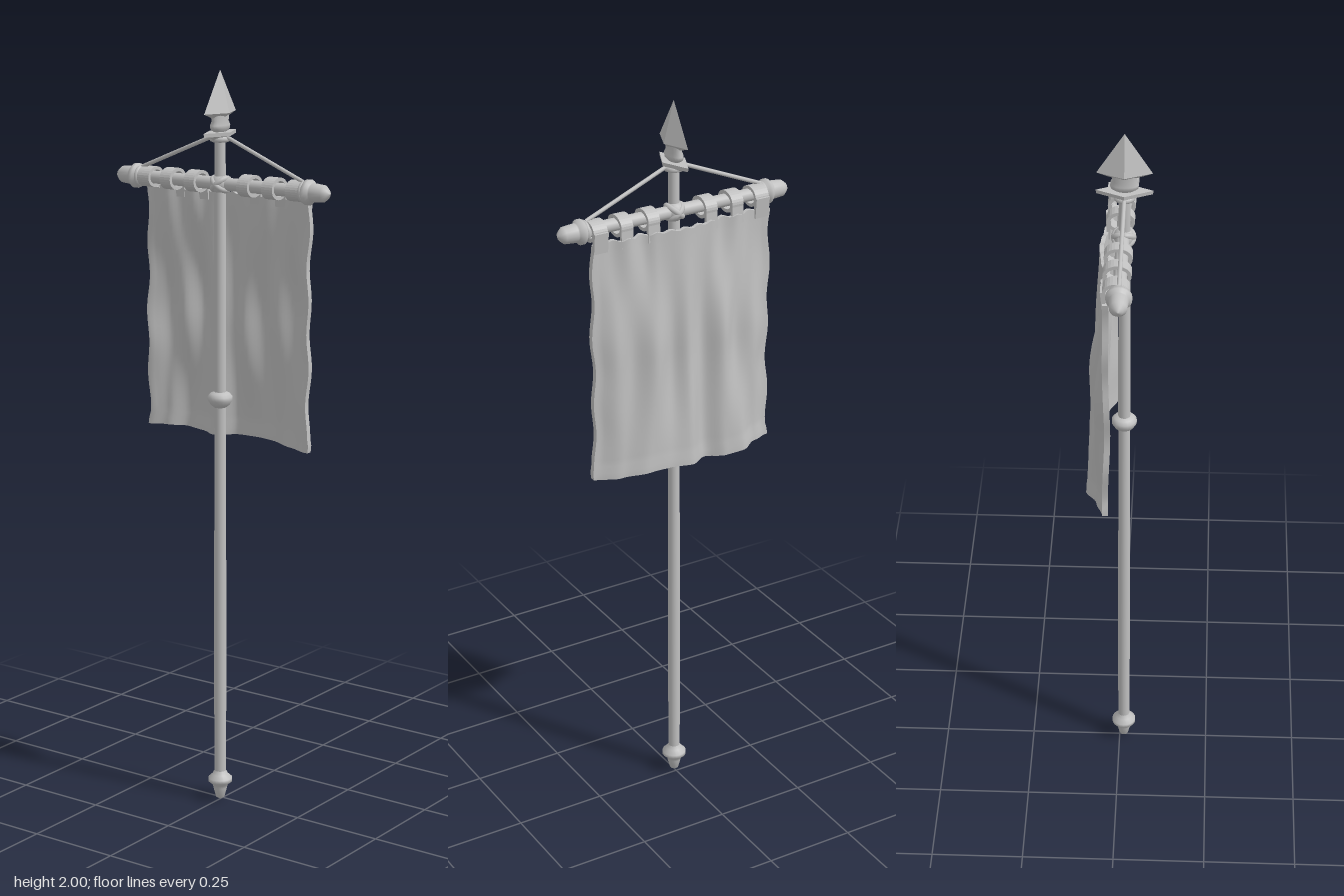
import * as THREE from 'three';

const POLE_X = -0.012;
const BAR_Y = 1.705;

// smooth interpolation through [position, value] pairs
function sample(pairs, t) {
  if (t <= pairs[0][0]) return pairs[0][1];
  for (let i = 1; i < pairs.length; i++) {
    const [a, va] = pairs[i - 1], [b, vb] = pairs[i];
    if (t <= b) return THREE.MathUtils.lerp(va, vb, THREE.MathUtils.smoothstep(t, a, b));
  }
  return pairs[pairs.length - 1][1];
}

function lathe(points, segments = 20) {
  return new THREE.LatheGeometry(points.map(([r, y]) => new THREE.Vector2(r, y)), segments);
}

// faceted four-sided solid, flattened in z
function diamond(rTop, rBottom, height, y, flat) {
  const g = new THREE.CylinderGeometry(rTop, rBottom, height, 4).scale(1, 1, flat).translate(POLE_X, y, 0).toNonIndexed();
  g.computeVertexNormals();
  return g;
}

// cloth depth across z, at the top, middle and bottom
const topFold = [[-0.26, 0.026], [-0.2, 0.022], [-0.16, 0.036], [-0.12, 0.024], [-0.08, 0.038], [0, 0.045],
  [0.085, 0.036], [0.12, 0.024], [0.165, 0.036], [0.21, 0.022], [0.26, 0.024]];
const midFold = [[-0.26, 0.024], [-0.21, 0.05], [-0.17, 0.042], [-0.12, 0.068], [-0.06, 0.036], [0, 0.062],
  [0.05, 0.042], [0.11, 0.06], [0.17, 0.036], [0.21, 0.044], [0.26, 0.02]];
const lowFold = [[-0.26, 0.028], [-0.21, 0.045], [-0.16, 0.074], [-0.11, 0.07], [-0.055, 0.046], [0, 0.076],
  [0.06, 0.068], [0.12, 0.064], [0.19, 0.044], [0.26, 0.018]];

function clothGeometry() {
  const h = 0.66, w = 0.52, bottom = 1.02;
  const g = new THREE.BoxGeometry(0.011, h, w, 1, 36, 64);
  const p = g.attributes.position;
  for (let i = 0; i < p.count; i++) {
    const side = p.getX(i), v = p.getY(i) / h + 0.5, z = p.getZ(i);
    const edge = Math.abs(z) / (w / 2);
    // folds lean outward as they fall
    const zf = z + 0.03 * Math.sin(v * 3.1) * Math.sign(z) * (1 - edge) * edge * 2;
    const t = sample(topFold, zf), m = sample(midFold, zf), l = sample(lowFold, zf);
    let x = v > 0.5 ? THREE.MathUtils.lerp(m, t, THREE.MathUtils.smoothstep(v, 0.5, 1))
      : THREE.MathUtils.lerp(l, m, THREE.MathUtils.smoothstep(v, 0, 0.5));
    x += 0.003 * Math.sin(z * 42 + v * 9) * Math.sin(v * Math.PI);
    // thicker hem along the bottom and sides
    const hem = v < 0.05 || edge > 0.96 ? 1.4 : 1;
    const wobble = 0.004 * Math.sin(v * 23 + z) * edge ** 6;
    const sag = v > 0.97 ? -0.006 * Math.sin(z * 78) ** 2 : 0.004 * Math.sin(z * 21) * (1 - v);
    p.setXYZ(i, x + side * hem, bottom + v * h + sag, z * (v < 0.05 ? 1.015 : 1) + wobble);
  }
  g.computeVertexNormals();
  return g;
}

// strap ring around the bar
function loopGeometry(width, size) {
  const s = new THREE.Shape().absellipse(0, 0, 0.036 * size, 0.029 * size, 0, Math.PI * 2);
  s.holes.push(new THREE.Path().absellipse(0, 0, 0.027 * size, 0.02 * size, 0, Math.PI * 2, true));
  return new THREE.ExtrudeGeometry(s, { depth: width, bevelEnabled: false, curveSegments: 14 }).translate(0, 0, -width / 2);
}

export function createModel() {
  const group = new THREE.Group();
  group.name = 'hangingBanner';
  const grey = new THREE.MeshStandardMaterial({ color: 0xc0c0c0 });
  grey.name = 'plain grey';
  const add = (name, geometry, x = 0, y = 0, z = 0) => {
    const mesh = new THREE.Mesh(geometry, grey);
    mesh.name = name;
    mesh.position.set(x, y, z);
    group.add(mesh);
    return mesh;
  };

  // pole, foot and ring
  add('pole', lathe([[0.016, 0.06], [0.017, 0.5], [0.0155, 0.9], [0.016, 1.2], [0.0155, 1.65], [0.014, 1.84]]), POLE_X);
  add('foot', lathe([[0, 0], [0.012, 0.008], [0.019, 0.035], [0.021, 0.044], [0.033, 0.054], [0.033, 0.064],
    [0.022, 0.074], [0.016, 0.085]]), POLE_X);
  add('poleRing', lathe([[0.016, 1.11], [0.026, 1.118], [0.033, 1.13], [0.033, 1.14], [0.026, 1.148], [0.016, 1.152]]), POLE_X);

  // spear finial
  add('guardPlate', diamond(0.072, 0.07, 0.01, 1.836, 0.46));
  add('guardTaper', diamond(0.055, 0.018, 0.014, 1.824, 0.55));
  add('ropeCollar', new THREE.TorusGeometry(0.02, 0.008, 8, 20).rotateX(Math.PI / 2), POLE_X, 1.822);
  add('spearNeck', lathe([[0.018, 1.838], [0.034, 1.848], [0.036, 1.858], [0.03, 1.868], [0.034, 1.9]]), POLE_X)
    .scale.z = 0.55;
  add('spearBase', diamond(0.07, 0.03, 0.014, 1.883, 0.42));
  add('spearTip', diamond(0, 0.07, 0.11, 1.945, 0.42));

  // crossbar with knobbed ends
  const half = [[0, 0.34], [0.012, 0.334], [0.022, 0.322], [0.025, 0.29], [0.025, 0.286], [0.033, 0.28], [0.033, 0.27],
    [0.021, 0.26], [0.017, 0.24]];
  const bar = [...half.map(([r, y]) => [r, -y]), ...half.slice().reverse()];
  add('crossbar', lathe(bar).rotateX(Math.PI / 2), -0.008, BAR_Y);

  // lashing where bar meets pole
  for (const s of [-1, 1]) {
    const lash = add('lashing', new THREE.TorusGeometry(0.024, 0.008, 8, 20).rotateX(Math.PI / 2), -0.01, BAR_Y);
    lash.rotation.x = s * 0.7;
  }
  add('lashingKnot', new THREE.SphereGeometry(0.027, 16, 12), -0.01, BAR_Y);

  // cloth with its hanging loops
  add('cloth', clothGeometry());
  for (const s of [-1, 1]) {
    for (const z of [0.085, 0.163, 0.238]) {
      const end = z > 0.2;
      const width = end ? 0.04 : 0.034;
      add('clothLoop', loopGeometry(width, end ? 0.95 : 1), 0, BAR_Y, s * z);
      const tab = add('loopTab', new THREE.BoxGeometry(0.01, 0.055, width), 0.031, BAR_Y - 0.024, s * z);
      tab.rotation.z = end ? -0.1 : 0.05;
    }

    // stay rope from finial to bar end
    const rope = new THREE.LineCurve3(new THREE.Vector3(POLE_X, 1.832, s * 0.012), new THREE.Vector3(-0.008, 1.73, s * 0.258));
    add('stayRope', new THREE.TubeGeometry(rope, 1, 0.0055, 8));
    add('ropeWrap', new THREE.TorusGeometry(0.022, 0.007, 8, 20), -0.008, BAR_Y, s * 0.262);
  }
  return group;
}
